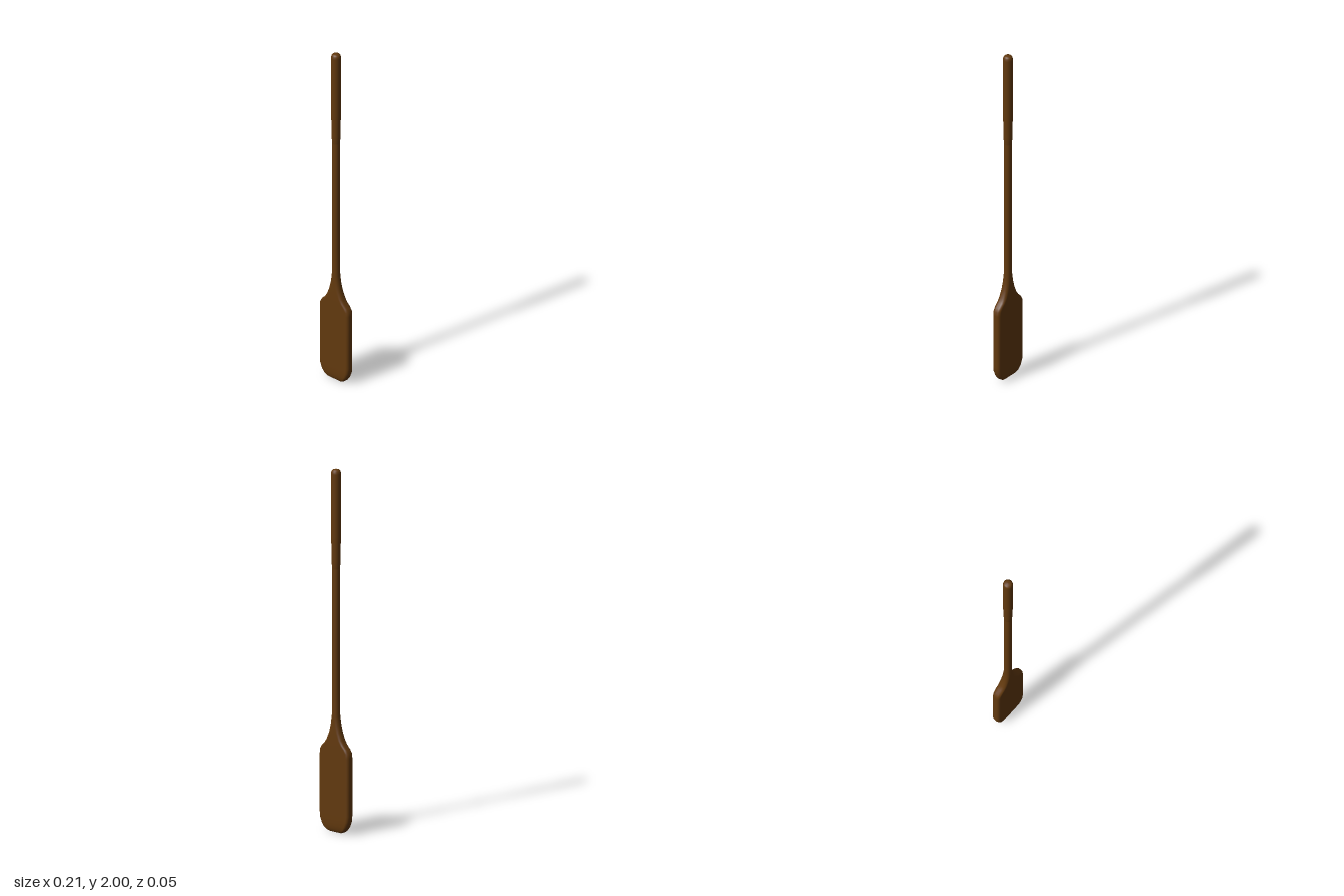
import * as THREE from 'three';

const wood = new THREE.MeshStandardMaterial({ color: 0x62390e });
const ARC = 6; // segments per rounded corner

// Rounded-rectangle ring at height y: half width w, half depth d, corner radius r
function ring(y, w, d, r) {
  const points = [];
  for (let q = 0; q < 4; q++) {
    const sx = q === 0 || q === 3 ? 1 : -1;
    const sz = q < 2 ? 1 : -1;
    for (let i = 0; i <= ARC; i++) {
      const a = (q + i / ARC) * Math.PI / 2;
      points.push([sx * (w - r) + r * Math.cos(a), y, sz * (d - r) + r * Math.sin(a)]);
    }
  }
  return points;
}

// Skin a stack of rings, closing the bottom with a fan
function loft(sections) {
  const rings = sections.map((s) => ring(...s));
  const n = rings[0].length;
  const positions = rings.flat(2);
  const index = [];
  for (let j = 0; j < rings.length - 1; j++) {
    for (let i = 0; i < n; i++) {
      const k = (i + 1) % n;
      const a = j * n + i, b = j * n + k, c = a + n, d = b + n;
      index.push(a, c, b, b, c, d);
    }
  }
  const centre = positions.length / 3;
  positions.push(0, sections[0][0], 0);
  for (let i = 0; i < n; i++) index.push(centre, i, (i + 1) % n);
  const geometry = new THREE.BufferGeometry();
  geometry.setAttribute('position', new THREE.Float32BufferAttribute(positions, 3));
  geometry.setIndex(index);
  geometry.computeVertexNormals();
  return geometry;
}

export function createModel() {
  const paddle = new THREE.Group();
  paddle.name = 'paddle';

  // Blade, flared shoulder and shaft: [y, half width, half depth, corner radius]
  const bladeAndShaft = new THREE.Mesh(loft([
    [0, 0.045, 0.009, 0.008],
    [0.006, 0.06, 0.015, 0.013],
    [0.02, 0.078, 0.02, 0.017],
    [0.04, 0.091, 0.023, 0.018],
    [0.07, 0.102, 0.024, 0.018],
    [0.1, 0.105, 0.024, 0.018],
    [0.25, 0.105, 0.024, 0.018],
    [0.42, 0.105, 0.024, 0.018],
    [0.445, 0.102, 0.024, 0.018],
    [0.465, 0.09, 0.024, 0.018],
    [0.485, 0.07, 0.024, 0.018],
    [0.51, 0.054, 0.024, 0.019],
    [0.55, 0.039, 0.023, 0.02],
    [0.59, 0.03, 0.022, 0.021],
    [0.64, 0.023, 0.021, 0.0205],
    [0.78, 0.021, 0.0205, 0.02],
    [1.0, 0.02, 0.02, 0.0198],
    [1.47, 0.02, 0.02, 0.0198],
  ]), wood);
  bladeAndShaft.name = 'bladeAndShaft';
  paddle.add(bladeAndShaft);

  // Thicker grip with a rounded end
  const profile = [
    [0.018, 1.45], [0.022, 1.452], [0.0235, 1.5], [0.0255, 1.6], [0.027, 1.63], [0.027, 1.8],
    [0.027, 1.975], [0.025, 1.988], [0.02, 1.996], [0.012, 1.999], [0, 2],
  ].map(([r, y]) => new THREE.Vector2(r, y));
  const grip = new THREE.Mesh(new THREE.LatheGeometry(profile, 28), wood);
  grip.name = 'grip';
  paddle.add(grip);

  return paddle;
}
